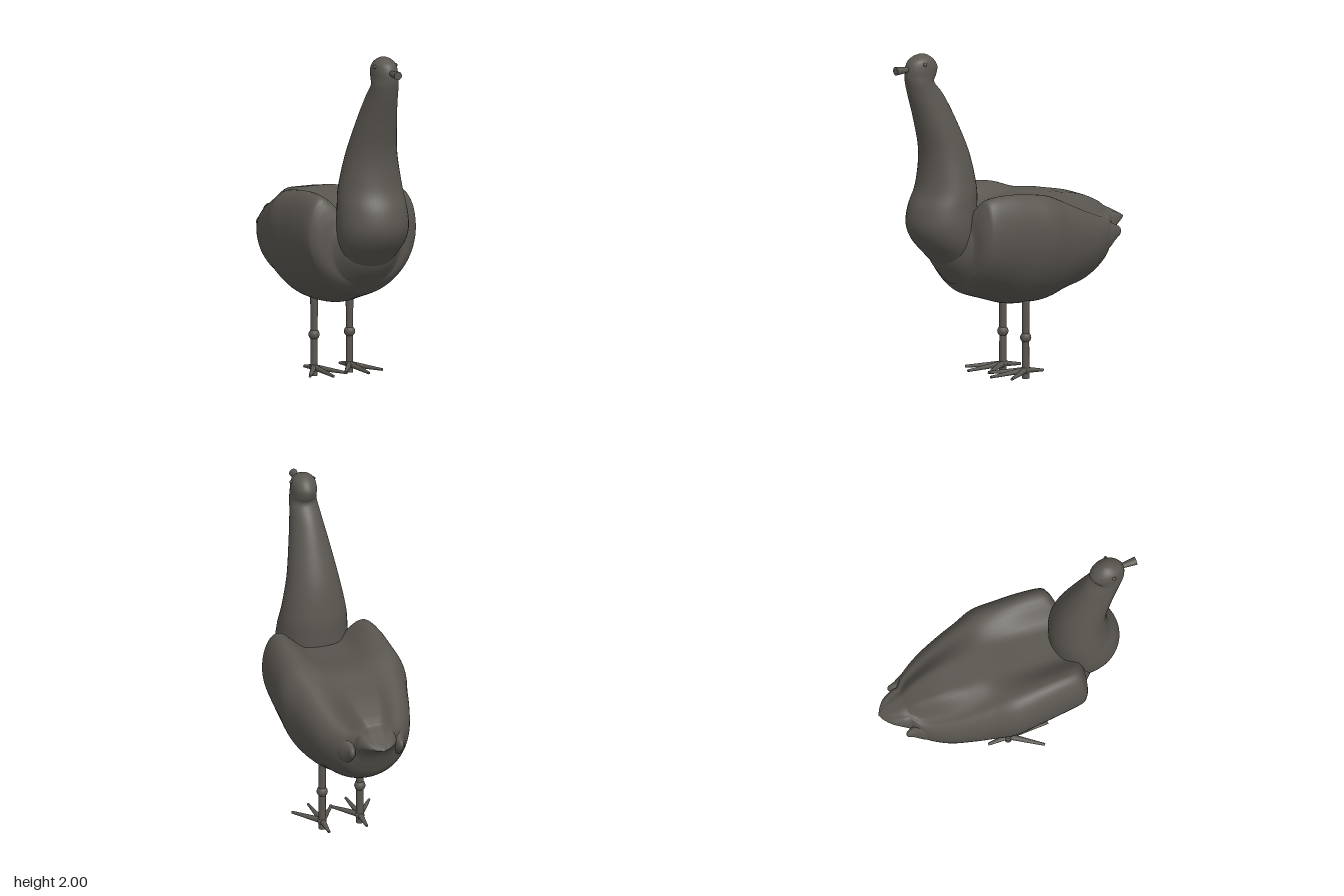
import * as THREE from 'three';

const plumage = new THREE.MeshStandardMaterial({ color: 0x5a5650 });
plumage.name = 'dark grey';

// Smooth interpolation through a list of stations (each a short row of numbers)
function sample(rows, steps) {
  const out = [];
  const n = rows.length;
  for (let i = 0; i < n - 1; i++) {
    const p0 = rows[Math.max(i - 1, 0)], p1 = rows[i];
    const p2 = rows[i + 1], p3 = rows[Math.min(i + 2, n - 1)];
    for (let s = 0; s < steps; s++) {
      const t = s / steps;
      out.push(p1.map((a, k) => {
        const m1 = (p2[k] - p0[k]) / 2, m2 = (p3[k] - a) / 2, d = p2[k] - a;
        return a + t * (m1 + t * (3 * d - 2 * m1 - m2 + t * (m1 + m2 - 2 * d)));
      }));
    }
  }
  out.push(rows[n - 1]);
  return out;
}

// Skin closed rings; ringPoint(row, cos, sin) returns one [x, y, z]
function loft(name, stations, ringPoint, sides = 40, steps = 5) {
  const rows = sample(stations, steps);
  const pos = [], index = [];
  rows.forEach((row, i) => {
    for (let j = 0; j < sides; j++) {
      const a = (j / sides) * Math.PI * 2;
      pos.push(...ringPoint(row, Math.cos(a), Math.sin(a)));
      if (i === rows.length - 1) continue;
      const k = (j + 1) % sides;
      const A = i * sides + j, B = i * sides + k;
      index.push(A, A + sides, B, B, A + sides, B + sides);
    }
  });
  const g = new THREE.BufferGeometry();
  g.setAttribute('position', new THREE.Float32BufferAttribute(pos, 3));
  g.setIndex(index);
  g.computeVertexNormals();
  return part(name, g);
}

function part(name, geometry, x = 0, y = 0, z = 0) {
  const m = new THREE.Mesh(geometry, plumage);
  m.name = name;
  m.position.set(x, y, z);
  return m;
}

// Tapered round rod between two points
function rod(name, from, to, r0, r1, sides = 14) {
  const a = new THREE.Vector3(...from), b = new THREE.Vector3(...to);
  const dir = b.clone().sub(a);
  const m = part(name, new THREE.CylinderGeometry(r1, r0, dir.length(), sides));
  m.position.copy(a).add(b).multiplyScalar(0.5);
  m.quaternion.setFromUnitVectors(new THREE.Vector3(0, 1, 0), dir.normalize());
  return m;
}

// Body with the folded wings as rounded shoulders on each side of the back
function createBody() {
  // z, bottom, back height, half width, height of widest point, wing ridge x, wing ridge y
  const stations = [
    [0.55, 0.8, 0.8, 0, 0.8, 0, 0.8],
    [0.5, 0.7, 0.94, 0.13, 0.83, 0.06, 0.94],
    [0.42, 0.61, 1.0, 0.215, 0.85, 0.1, 1.0],
    [0.405, 0.6, 1.0, 0.24, 0.86, 0.15, 1.0],
    [0.393, 0.59, 1.0, 0.295, 0.88, 0.2, 1.03],
    [0.37, 0.565, 1.01, 0.337, 0.9, 0.24, 1.09],
    [0.33, 0.53, 1.02, 0.36, 0.92, 0.262, 1.135],
    [0.2, 0.487, 1.04, 0.374, 0.93, 0.27, 1.148],
    [0.06, 0.445, 1.06, 0.383, 0.93, 0.27, 1.135],
    [-0.08, 0.437, 1.085, 0.39, 0.91, 0.265, 1.113],
    [-0.2, 0.445, 1.097, 0.358, 0.88, 0.245, 1.065],
    [-0.32, 0.487, 1.078, 0.327, 0.85, 0.23, 1.01],
    [-0.46, 0.525, 1.05, 0.28, 0.82, 0.195, 0.95],
    [-0.58, 0.6, 1.0, 0.212, 0.81, 0.15, 0.91],
    [-0.63, 0.68, 0.97, 0.155, 0.82, 0.11, 0.92],
    [-0.65, 0.72, 0.955, 0.13, 0.83, 0.09, 0.925],
    [-0.69, 0.79, 0.935, 0.118, 0.86, 0.08, 0.92],
    [-0.75, 0.845, 0.905, 0.085, 0.875, 0.055, 0.9],
    [-0.79, 0.86, 0.885, 0.04, 0.873, 0.025, 0.88],
    [-0.81, 0.87, 0.87, 0, 0.87, 0, 0.87],
  ];
  return loft('body', stations, ([z, bottom, back, w, wy, rx, ry], c, s) => {
    if (s <= 0) return [w * c, wy + s * (wy - bottom), z];
    const side = Math.sign(c);
    const a = Math.atan2(s, Math.abs(c)) / (Math.PI / 4);
    if (a < 1) {
      const b = a * Math.PI / 2;
      return [side * (rx + (w - rx) * Math.cos(b)), wy + (ry - wy) * Math.sin(b), z];
    }
    const t = 2 - a;
    const rise = THREE.MathUtils.smoothstep(t, 0.35, 1);
    return [side * rx * t, back + (ry - back) * rise, z];
  }, 80);
}

function createNeck() {
  // y, back z, front z, half width; from the breast up to the crown
  const stations = [
    [0.66, 0.4, 0.4, 0], [0.69, 0.36, 0.46, 0.07], [0.73, 0.32, 0.515, 0.125],
    [0.8, 0.29, 0.585, 0.172], [0.88, 0.28, 0.655, 0.203], [0.97, 0.275, 0.69, 0.215],
    [1.08, 0.272, 0.675, 0.208], [1.2, 0.277, 0.625, 0.193], [1.4, 0.32, 0.613, 0.154],
    [1.6, 0.405, 0.66, 0.118], [1.75, 0.485, 0.707, 0.091], [1.83, 0.548, 0.727, 0.08],
    [1.875, 0.532, 0.733, 0.076], [1.92, 0.523, 0.73, 0.075], [1.96, 0.545, 0.712, 0.066],
    [1.985, 0.575, 0.677, 0.043], [1.997, 0.6, 0.645, 0.018], [2, 0.62, 0.62, 0],
  ];
  return loft('neckAndHead', stations, ([y, back, front, w], c, s) =>
    [w * c, y, (back + front) / 2 + s * (front - back) / 2]);
}

// Free tip of a folded wing beside the tail
function createWingTip(side) {
  // z, centre x, centre y, half thickness, half height
  const stations = [
    [-0.46, 0.18, 0.8, 0.06, 0.1], [-0.58, 0.16, 0.8, 0.052, 0.09],
    [-0.65, 0.15, 0.81, 0.028, 0.05], [-0.685, 0.153, 0.815, 0.014, 0.025],
    [-0.695, 0.153, 0.815, 0, 0],
  ];
  return loft('wingTip', stations, ([z, cx, cy, t, h], c, s) =>
    [side * cx + t * c, cy + h * s, z], 24);
}

function createLeg(side) {
  const leg = new THREE.Group();
  leg.name = 'leg';
  leg.position.set(side * 0.117, 0, -0.04);
  leg.add(
    rod('upperLeg', [0, 0.24, 0], [0, 0.55, 0], 0.021, 0.024),
    rod('lowerLeg', [0, 0, 0], [0, 0.25, 0], 0.022, 0.021),
    part('knee', new THREE.SphereGeometry(0.033, 18, 12), 0, 0.245, 0),
    part('ankle', new THREE.SphereGeometry(0.027, 16, 10), 0, 0.047, 0),
  );
  // Three toes forward, one back
  for (const [x, z] of [[0, 0.25], [0.122, 0.185], [-0.122, 0.185], [0, -0.125]]) {
    leg.add(rod('toe', [0, 0.05, 0], [x, 0.035, z], 0.019, 0.008, 10));
  }
  return leg;
}

export function createModel() {
  const bird = new THREE.Group();
  bird.name = 'bird';
  bird.add(createBody(), createNeck());
  // Beak flares toward its tip
  bird.add(rod('beak', [0, 1.915, 0.7], [0, 1.915, 0.81], 0.014, 0.025, 20));
  for (const side of [1, -1]) {
    bird.add(createWingTip(side), createLeg(side));
    bird.add(part('eye', new THREE.SphereGeometry(0.012, 12, 8), side * 0.068, 1.947, 0.645));
  }
  return bird;
}
